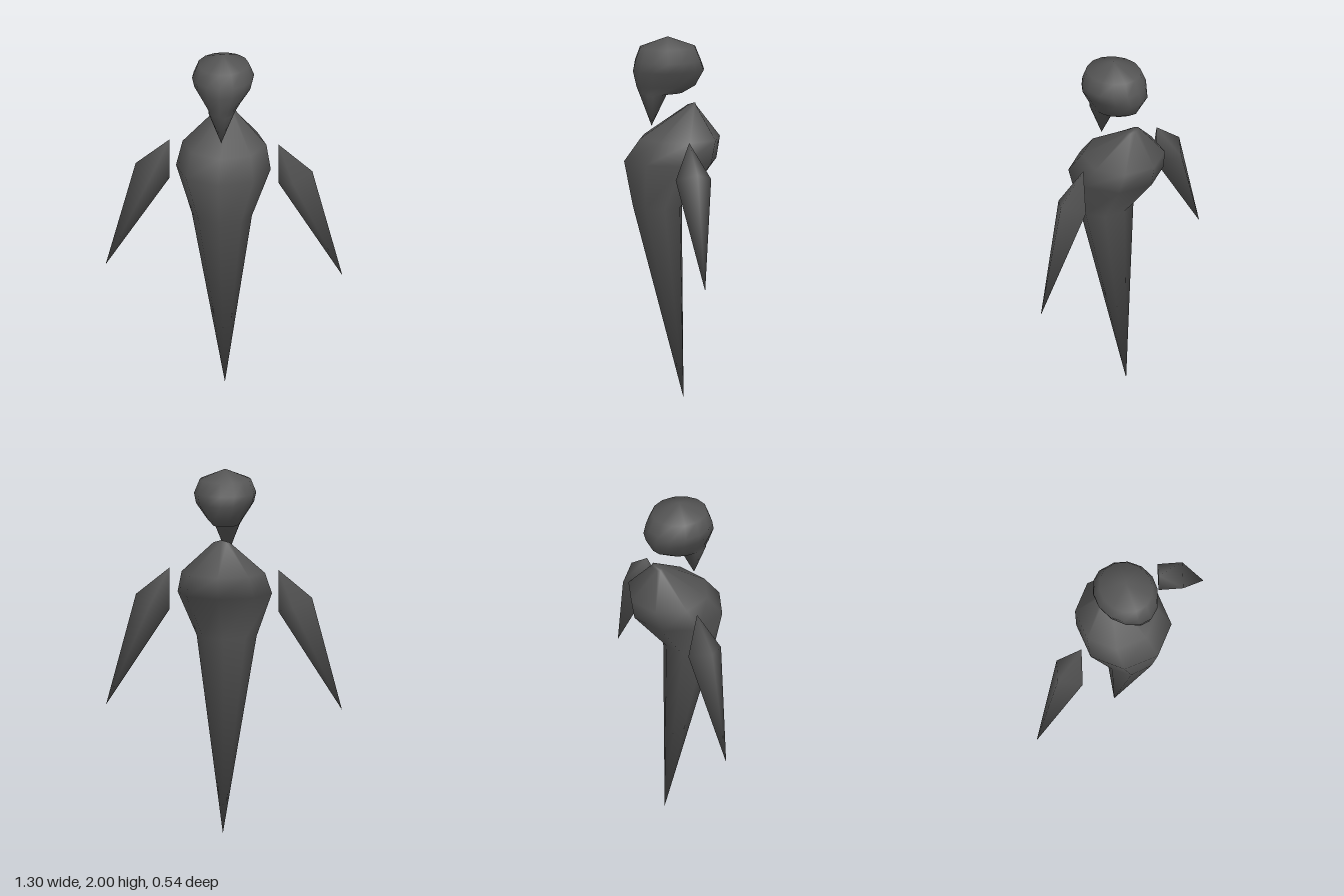
import * as THREE from 'three';

const material = new THREE.MeshStandardMaterial({ color: 0x555555, roughness: 0.8 });

// Elliptical ring; back and front are its z limits, tilt raises the +x side.
function ring(sides, y, rx, back, front, cx = 0, tilt = 0) {
  return Array.from({ length: sides }, (_, j) => {
    const a = (j / sides) * Math.PI * 2;
    return [
      cx + rx * Math.sin(a),
      y + tilt * Math.sin(a),
      (front + back) / 2 + ((front - back) / 2) * Math.cos(a),
    ];
  });
}

// Smooth closed skin from a bottom point through rings (low to high) to a top point.
function loft(name, bottom, rings, top) {
  const n = rings[0].length;
  const points = [bottom, ...rings.flat(), top];
  const last = points.length - 1;
  const id = (i, j) => 1 + i * n + (j % n);
  const index = [];
  for (let j = 0; j < n; j++) {
    index.push(0, id(0, j + 1), id(0, j));
    for (let i = 0; i < rings.length - 1; i++) {
      index.push(id(i, j), id(i, j + 1), id(i + 1, j + 1));
      index.push(id(i, j), id(i + 1, j + 1), id(i + 1, j));
    }
    index.push(id(rings.length - 1, j), id(rings.length - 1, j + 1), last);
  }
  const geometry = new THREE.BufferGeometry();
  geometry.setAttribute('position', new THREE.Float32BufferAttribute(points.flat(), 3));
  geometry.setIndex(index);
  geometry.computeVertexNormals();
  const mesh = new THREE.Mesh(geometry, material);
  mesh.name = name;
  return mesh;
}

export function createModel() {
  const group = new THREE.Group();
  group.name = 'floatingFigure';

  // Body: eight-sided, tapering to a point below, hunched shoulders above
  group.add(loft('body', [0, 0, -0.065], [
    ring(8, 1.07, 0.165, -0.055, 0.22),
    ring(8, 1.32, 0.26, -0.25, 0.27),
    ring(8, 1.44, 0.23, -0.27, 0.18),
    ring(8, 1.615, 0.045, -0.135, -0.09),
  ], [0, 1.63, -0.13]));

  // Head: rounded skull drawn down into a pointed chin at the front
  group.add(loft('head', [0, 1.51, 0.115], [
    ring(14, 1.685, 0.07, 0.03, 0.182),
    ring(14, 1.69, 0.075, -0.06, 0.184),
    ring(14, 1.73, 0.1, -0.135, 0.2),
    ring(14, 1.815, 0.157, -0.18, 0.22),
    ring(14, 1.87, 0.17, -0.16, 0.207),
    ring(14, 1.943, 0.14, -0.13, 0.18),
  ], [0, 2, 0.025]));

  // Arms: detached four-sided spikes, mirrored
  for (const [name, s] of [['leftArm', 1], ['rightArm', -1]]) {
    group.add(loft(name, [s * 0.65, 0.69, -0.02], [
      ring(4, 1.265, 0.0925, -0.12, 0.08, s * 0.3925, s * 0.04),
    ], [s * 0.3, 1.455, -0.02]));
  }

  return group;
}
